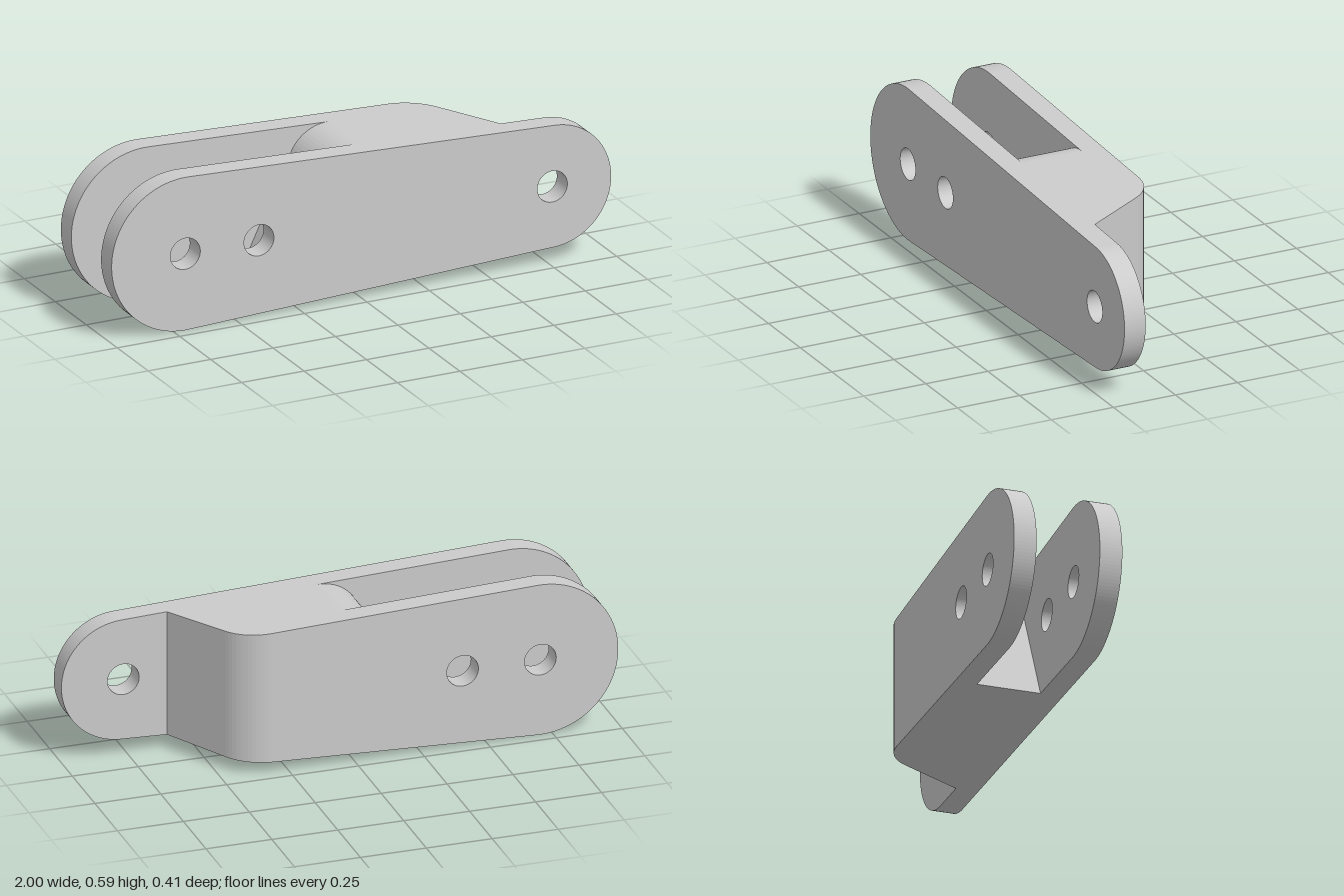
import * as THREE from 'three';

const MID = 0.295, SEAM = 0.1, HOLE = 0.06;
const OUT = 0.205, IN = 0.12;                    // outer and inner plate faces in z
const BIG = { x: -0.705, r: 0.295 }, SMALL = { x: 0.765, r: 0.235 };
const TAPER = Math.asin((BIG.r - SMALL.r) / (SMALL.x - BIG.x));

// half height of the tapered outline at x
const half = x => (BIG.r - (x - BIG.x) * Math.sin(TAPER)) / Math.cos(TAPER);
const top = x => MID + half(x);
const bottom = x => MID - half(x);
const V = (x, y) => new THREE.Vector2(x, y);

// points of a tangent arc that rounds the corner c between a and b
function fillet(a, c, b, t, n = 12) {
  const u = a.clone().sub(c).normalize(), v = b.clone().sub(c).normalize();
  const h = Math.acos(u.dot(v)) / 2;
  const centre = u.clone().add(v).normalize().multiplyScalar(t / Math.cos(h)).add(c);
  const start = c.clone().addScaledVector(u, t).sub(centre);
  const end = c.clone().addScaledVector(v, t).sub(centre);
  const sweep = Math.atan2(start.cross(end), start.dot(end));
  return Array.from({ length: n + 1 }, (_, i) =>
    start.clone().rotateAround(V(0, 0), sweep * i / n).add(centre));
}

function drill(shape, xs) {
  for (const x of xs) {
    const hole = new THREE.Path();
    hole.absarc(x, MID, HOLE, 0, Math.PI * 2, true);
    shape.holes.push(hole);
  }
}

function extrude(shape, z0, z1) {
  const g = new THREE.ExtrudeGeometry(shape, { depth: z1 - z0, bevelEnabled: false, curveSegments: 36 });
  return g.translate(0, 0, z0);
}

export function createModel() {
  const group = new THREE.Group();
  const material = new THREE.MeshStandardMaterial({ color: 0xcccccc });
  const add = (name, geometry) => {
    const mesh = new THREE.Mesh(geometry, material);
    mesh.name = name;
    group.add(mesh);
  };
  const up = Math.PI / 2 - TAPER;

  // full-length front plate with three holes
  const front = new THREE.Shape();
  front.absarc(BIG.x, MID, BIG.r, up, Math.PI * 2 - up, false);
  front.absarc(SMALL.x, MID, SMALL.r, -up, up, false);
  front.closePath();
  drill(front, [BIG.x, -0.41, SMALL.x]);
  add('frontPlate', extrude(front, IN, OUT));

  // back plate, running into the solid body
  const back = new THREE.Shape();
  back.absarc(BIG.x, MID, BIG.r, up, Math.PI * 2 - up, false);
  back.lineTo(SEAM, bottom(SEAM));
  back.lineTo(SEAM, top(SEAM));
  back.closePath();
  drill(back, [BIG.x, -0.41]);
  add('backPlate', extrude(back, -OUT, -IN));

  // sloped, rounded end of the slot between the plates
  const foot = V(-0.34, bottom(-0.34)), crest = V(-0.075, top(-0.075));
  const wedge = new THREE.Shape([
    foot, V(SEAM, bottom(SEAM)), V(SEAM, top(SEAM)),
    ...fillet(V(SEAM, top(SEAM)), crest, foot, 0.105),
  ]);
  add('slotEnd', extrude(wedge, -IN, IN));

  // solid body: plan outline raised along y, then fitted to the taper
  const heel = V(0.6, -IN), corner = V(0.41, OUT), rear = V(SEAM, OUT);
  const plan = new THREE.Shape([
    V(SEAM, -IN), heel, ...fillet(heel, corner, rear, 0.1), rear,
  ]);
  const body = extrude(plan, 0, 1).rotateX(-Math.PI / 2);
  const p = body.attributes.position;
  for (let i = 0; i < p.count; i++) {
    p.setY(i, MID + (p.getY(i) * 2 - 1) * half(p.getX(i)));
  }
  body.computeVertexNormals();
  add('body', body);

  return group;
}
